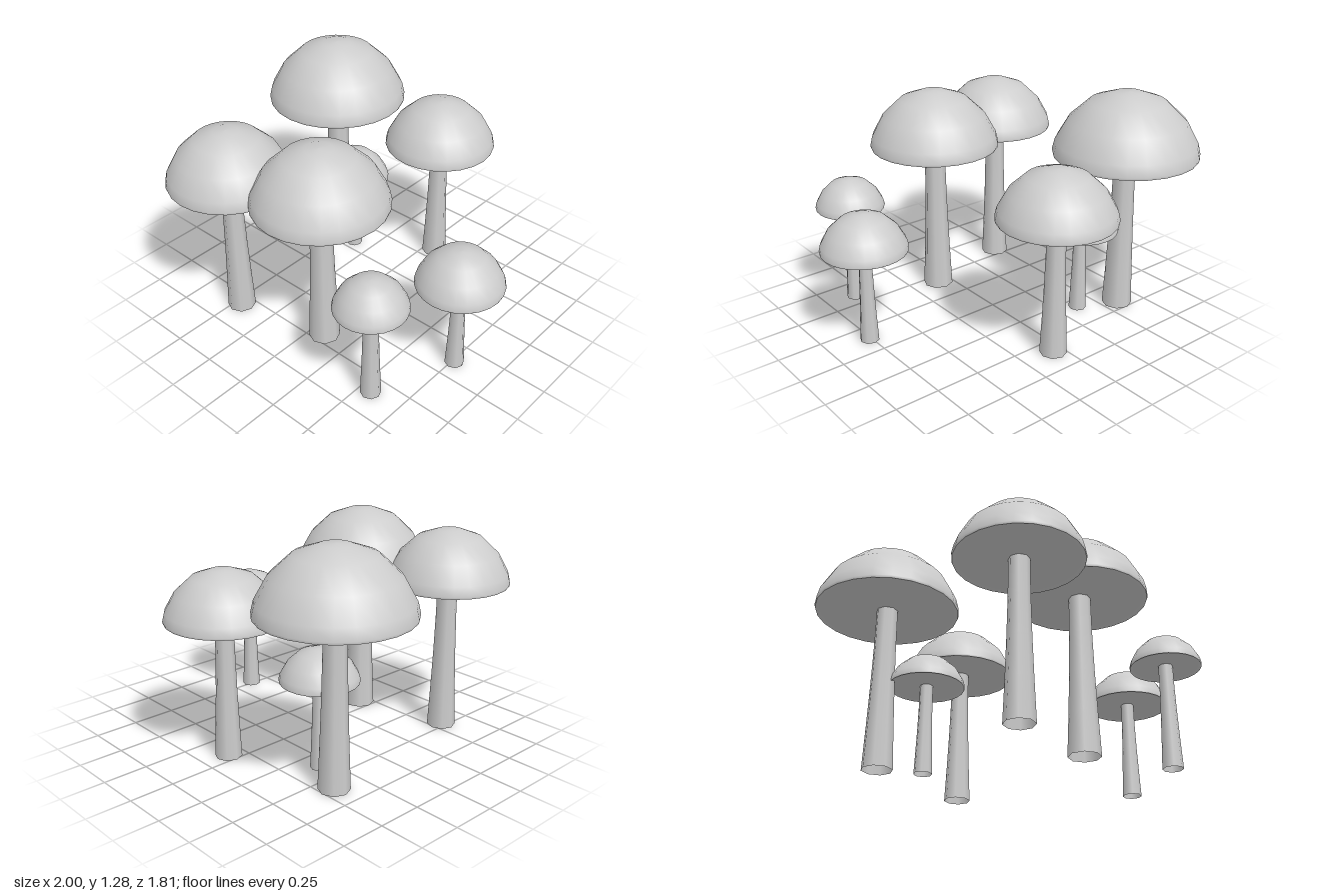
import * as THREE from 'three';

// x, z, cap radius, cap bottom, cap top, stem base radius, stem top radius
const MUSHROOMS = [
  [-0.595, -0.425, 0.405, 0.93, 1.285, 0.085, 0.06],
  [0.06, -0.593, 0.317, 0.78, 1.055, 0.074, 0.05],
  [-0.465, 0.563, 0.34, 0.868, 1.168, 0.08, 0.055],
  [0.08, 0.435, 0.368, 0.893, 1.22, 0.087, 0.059],
  [0.76, 0.13, 0.236, 0.547, 0.755, 0.053, 0.036],
  [0.565, 0.598, 0.196, 0.58, 0.755, 0.056, 0.039],
  [-0.375, -0.322, 0.212, 0.497, 0.678, 0.05, 0.036],
];

// Dome outline as fractions of cap radius and height
const DOME = [[0.99, 0], [1, 0.04], [0.965, 0.21], [0.8, 0.55], [0.52, 0.85], [0.2, 0.985], [0, 1]];

// Stem outline: fraction of height, fraction of the flare left
const STEM = [[0, 1], [0.25, 0.62], [0.5, 0.3], [0.75, 0.08], [1, 0]];

function lathe(points, sides, material, name) {
  const mesh = new THREE.Mesh(
    new THREE.LatheGeometry(points.map(([r, y]) => new THREE.Vector2(r, y)), sides), material);
  mesh.name = name;
  return mesh;
}

export function createModel() {
  const model = new THREE.Group();
  model.name = 'mushroomCluster';
  const grey = new THREE.MeshStandardMaterial({ color: 0xcccccc, side: THREE.DoubleSide });
  grey.name = 'plain grey';

  MUSHROOMS.forEach(([x, z, radius, bottom, top, baseR, topR], i) => {
    const mushroom = new THREE.Group();
    mushroom.name = `mushroom${i + 1}`;
    mushroom.position.set(x, 0, z);
    const height = top - bottom;

    // Flared stem, open at the foot
    const stem = lathe(STEM.map(([h, f]) => [topR + (baseR - topR) * f, h * (bottom + 0.02)]), 8, grey, 'stem');

    // Rounded cap and its flat underside, kept apart for a sharp rim
    const cap = lathe(DOME.map(([r, h]) => [r * radius, bottom + h * height]), 24, grey, 'cap');
    const underside = lathe([[0, bottom + 0.01], [radius * 0.9, bottom + 0.01], [radius * 0.99, bottom]],
      24, grey, 'capUnderside');

    mushroom.add(stem, cap, underside);
    model.add(mushroom);
  });
  return model;
}
